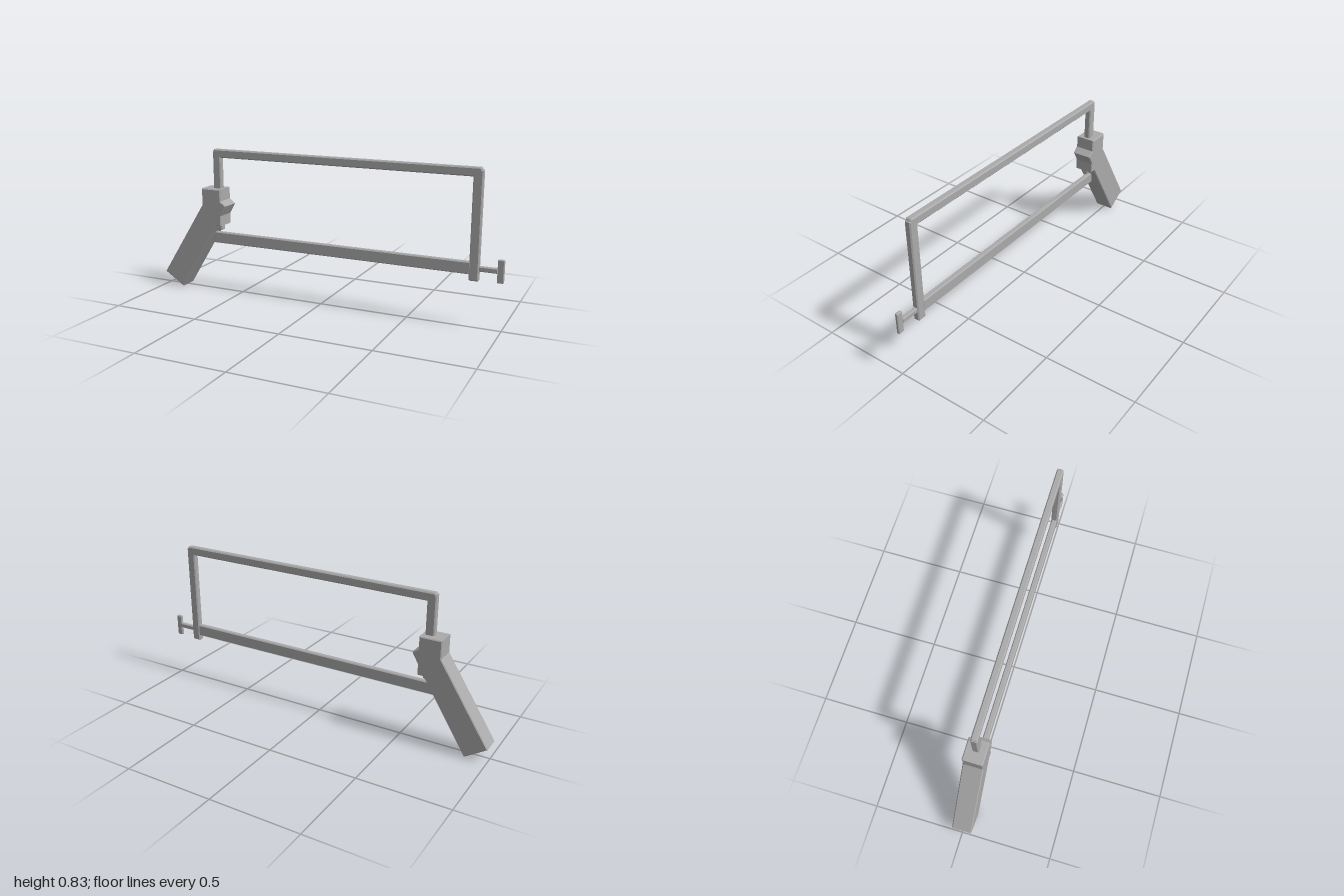
import * as THREE from 'three';

const steel = new THREE.MeshStandardMaterial({ color: 0xaaaaaa });
steel.name = 'steel grey';

// Chamfered plate: side outline in x/y, centred on z = 0
function plate(name, points, halfDepth, bevel) {
  const shape = new THREE.Shape(points.map(([x, y]) => new THREE.Vector2(x, y)));
  const geometry = new THREE.ExtrudeGeometry(shape, {
    depth: 2 * (halfDepth - bevel),
    bevelEnabled: true,
    bevelThickness: bevel,
    bevelSize: bevel,
    bevelOffset: -bevel,
    bevelSegments: 1,
  });
  geometry.translate(0, 0, bevel - halfDepth);
  const mesh = new THREE.Mesh(geometry, steel);
  mesh.name = name;
  return mesh;
}

// Chamfered bar with small cut corners
function bar(name, x0, x1, y0, y1, halfDepth, bevel, cut = 0) {
  const points = cut
    ? [[x0 + cut, y0], [x1 - cut, y0], [x1, y0 + cut], [x1, y1 - cut],
      [x1 - cut, y1], [x0 + cut, y1], [x0, y1 - cut], [x0, y0 + cut]]
    : [[x0, y0], [x1, y0], [x1, y1], [x0, y1]];
  return plate(name, points, halfDepth, bevel);
}

export function createModel() {
  const model = new THREE.Group();
  model.name = 'hacksaw';

  // Slanted grip with a pointed finger rest
  model.add(plate('handle', [
    [-0.88, 0.003], [-0.635, 0.396], [-0.602, 0.396], [-0.602, 0.455],
    [-0.568, 0.514], [-0.602, 0.54], [-0.602, 0.607], [-0.724, 0.607],
    [-0.724, 0.51], [-1, 0.08],
  ], 0.055, 0.005));

  // Frame
  model.add(bar('topBar', -0.662, 0.867, 0.783, 0.83, 0.018, 0.006, 0.006));
  model.add(bar('rearPost', -0.666, -0.617, 0.365, 0.82, 0.018, 0.006));
  model.add(bar('frontPost', 0.825, 0.875, 0.253, 0.82, 0.018, 0.006, 0.005));

  // Blade
  model.add(bar('blade', -0.68, 0.83, 0.285, 0.35, 0.015, 0.005));

  // Tension screw and its flat wing
  model.add(bar('screwRod', 0.87, 0.97, 0.305, 0.331, 0.012, 0.004));
  model.add(bar('screwWing', 0.966, 1, 0.256, 0.377, 0.009, 0.004, 0.004));

  return model;
}
